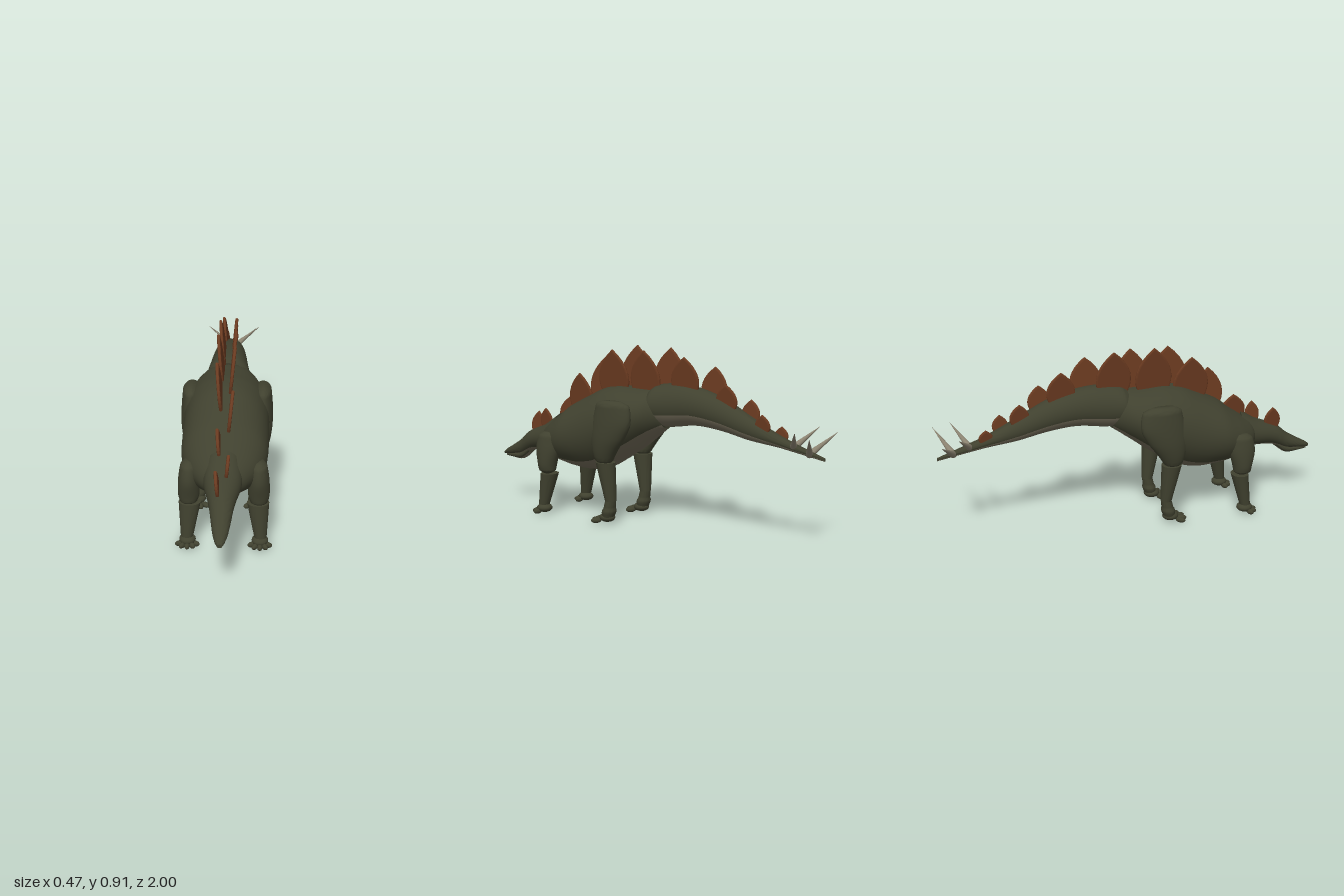
import * as THREE from 'three';
import { toCreasedNormals } from 'three/addons/utils/BufferGeometryUtils.js';

const mat = (name, color) => Object.assign(new THREE.MeshStandardMaterial({ color }), { name });
const SEG = 32;

// Smooth body through elliptical rings [s, c1, c2, r1, r2].
// axis 'z': rings by rising z in the xy plane; axis 'y': rings by falling y in the xz plane.
// Faces whose section angle has sine below bellyLine go to the second material.
function loft(rings, axis, bellyLine = -2, steps = 5) {
  const centres = new THREE.CatmullRomCurve3(rings.map(r => new THREE.Vector3(r[1], r[2], r[0])));
  const radii = new THREE.CatmullRomCurve3(rings.map(r => new THREE.Vector3(r[3], r[4], 0)));
  const n = (rings.length - 1) * steps;
  const pos = [], back = [], belly = [];
  const put = (a, b, s) => (axis === 'z' ? pos.push(a, b, s) : pos.push(a, s, b));
  for (let i = 0; i <= n; i++) {
    const c = centres.getPoint(i / n), r = radii.getPoint(i / n);
    for (let j = 0; j < SEG; j++) {
      const t = (j / SEG) * Math.PI * 2;
      put(c.x + r.x * Math.cos(t), c.y + r.y * Math.sin(t), c.z);
    }
  }
  const first = pos.length / 3;
  for (const r of [rings[0], rings[rings.length - 1]]) put(r[1], r[2], r[0]);
  for (let j = 0; j < SEG; j++) {
    const k = (j + 1) % SEG;
    const list = Math.sin(((j + 0.5) / SEG) * Math.PI * 2) < bellyLine ? belly : back;
    for (let i = 0; i < n; i++) {
      const a = i * SEG, b = a + SEG;
      list.push(a + j, a + k, b + k, a + j, b + k, b + j);
    }
    back.push(first, k, j, first + 1, n * SEG + j, n * SEG + k);
  }
  const g = new THREE.BufferGeometry();
  g.setAttribute('position', new THREE.Float32BufferAttribute(pos, 3));
  g.setIndex([...back, ...belly]);
  g.addGroup(0, back.length, 0);
  if (belly.length) g.addGroup(back.length, belly.length, 1);
  return toCreasedNormals(g, 0.9);
}

// Leaf-shaped back plate standing in the yz plane
function plateGeometry(w, h) {
  const s = new THREE.Shape();
  s.moveTo(-0.25 * w, 0);
  s.bezierCurveTo(-0.5 * w, 0.25 * h, -0.62 * w, 0.62 * h, 0, h);
  s.bezierCurveTo(0.62 * w, 0.62 * h, 0.5 * w, 0.25 * h, 0.25 * w, 0);
  const g = new THREE.ExtrudeGeometry(s, {
    depth: 0.006, bevelThickness: 0.005, bevelSize: 0.008, bevelOffset: -0.008, bevelSegments: 2, curveSegments: 10,
  });
  g.translate(0, 0, -0.003);
  g.rotateY(-Math.PI / 2);
  return g;
}

export function createModel() {
  const model = new THREE.Group();
  model.name = 'platedDinosaur';
  const hide = mat('darkOliveHide', 0x40412f);
  const under = mat('paleBelly', 0x6f6856);
  const rust = mat('rustPlates', 0x6a3a20);
  const horn = mat('hornSpikes', 0x8a8270);
  const add = (name, geo, material, parent = model) => {
    const m = new THREE.Mesh(geo, material);
    m.name = name;
    parent.add(m);
    return m;
  };
  const skin = [hide, under];

  // Torso, tail, neck with head, lower jaw
  add('torso', loft([
    [-0.12, 0, 0.58, 0.08, 0.08], [-0.05, 0, 0.57, 0.15, 0.12], [0.05, 0, 0.535, 0.195, 0.16],
    [0.15, 0, 0.505, 0.21, 0.195], [0.25, 0, 0.47, 0.21, 0.215], [0.35, 0, 0.44, 0.21, 0.2],
    [0.45, 0, 0.42, 0.205, 0.17], [0.55, 0, 0.395, 0.17, 0.125], [0.63, 0, 0.385, 0.11, 0.08],
    [0.67, 0, 0.38, 0.05, 0.04],
  ], 'z', -0.66), skin);
  add('tail', loft([
    [-1, 0, 0.435, 0.006, 0.008], [-0.77, 0, 0.495, 0.03, 0.028], [-0.6, 0, 0.545, 0.048, 0.058],
    [-0.45, 0, 0.597, 0.07, 0.08], [-0.3, 0, 0.625, 0.085, 0.095], [-0.15, 0, 0.62, 0.1, 0.11],
    [-0.07, 0, 0.615, 0.11, 0.104], [-0.04, 0, 0.61, 0.1, 0.09],
  ], 'z', -0.45), skin);
  add('neckAndHead', loft([
    [0.58, 0, 0.41, 0.09, 0.108], [0.67, 0, 0.382, 0.087, 0.075], [0.76, 0, 0.36, 0.066, 0.06],
    [0.81, 0, 0.34, 0.055, 0.057], [0.86, 0, 0.308, 0.046, 0.046], [0.93, 0, 0.283, 0.035, 0.028],
    [0.98, 0, 0.267, 0.022, 0.016], [1, 0, 0.26, 0.012, 0.009],
  ], 'z', -0.72), skin);
  add('lowerJaw', loft([
    [0.8, 0, 0.3, 0.03, 0.02], [0.86, 0, 0.262, 0.036, 0.024], [0.93, 0, 0.253, 0.027, 0.014],
    [0.985, 0, 0.248, 0.01, 0.006],
  ], 'z', -0.72), skin);

  // Legs: one side modelled, the other built with mirrored x
  const limbs = {
    frontUpperLeg: [
      [0.44, 0.165, 0.53, 0.02, 0.035], [0.42, 0.164, 0.535, 0.04, 0.058], [0.35, 0.165, 0.54, 0.05, 0.068],
      [0.27, 0.166, 0.542, 0.051, 0.052], [0.235, 0.167, 0.542, 0.042, 0.045], [0.22, 0.167, 0.54, 0.02, 0.02],
    ],
    frontLowerLeg: [[0.22, 0.163, 0.53, 0.053, 0.045], [0.05, 0.176, 0.56, 0.03, 0.028]],
    rearThigh: [
      [0.64, 0.18, 0.1, 0.022, 0.06], [0.62, 0.178, 0.095, 0.042, 0.1], [0.53, 0.18, 0.1, 0.048, 0.115],
      [0.45, 0.178, 0.125, 0.05, 0.1], [0.38, 0.172, 0.15, 0.046, 0.072], [0.33, 0.165, 0.16, 0.038, 0.05],
      [0.31, 0.165, 0.16, 0.02, 0.025],
    ],
    rearLowerLeg: [[0.32, 0.16, 0.155, 0.05, 0.052], [0.12, 0.15, 0.13, 0.032, 0.029]],
    rearAnkle: [[0.125, 0.15, 0.13, 0.03, 0.027], [0.08, 0.15, 0.138, 0.034, 0.03], [0.03, 0.15, 0.148, 0.034, 0.03]],
  };
  const ball = new THREE.SphereGeometry(1, 20, 14);
  const feet = [
    { name: 'front', x: 0.174, z: 0.56, toes: 5, reach: 0.042, spread: 1.15, size: 0.016 },
    { name: 'rear', x: 0.148, z: 0.155, toes: 4, reach: 0.058, spread: 0.75, size: 0.019 },
  ];
  for (const side of [1, -1]) {
    const label = side > 0 ? 'left' : 'right';
    const legs = new THREE.Group();
    legs.name = label + 'Legs';
    model.add(legs);
    for (const [name, rings] of Object.entries(limbs))
      add(name, loft(rings.map(([y, x, ...rest]) => [y, x * side, ...rest]), 'y'), hide, legs);
    for (const f of feet) {
      const foot = add(f.name + 'Foot', ball, hide, legs);
      foot.position.set(side * f.x, 0.03, f.z);
      foot.scale.set(0.04, 0.024, 0.042);
      for (let i = 0; i < f.toes; i++) {
        const a = (i / (f.toes - 1) - 0.5) * 2 * f.spread;
        const toe = add(f.name + 'Toe', ball, hide, legs);
        toe.position.set(side * f.x + Math.sin(a) * f.reach, 0.014, f.z + Math.cos(a) * f.reach);
        toe.rotation.y = a;
        toe.scale.set(f.size * 0.8, 0.014, f.size * 1.4);
      }
    }
  }

  // Back plates [z, base y, tip y, width], alternating right and left
  const plates = [
    [0.77, 0.38, 0.51, 0.1], [0.67, 0.42, 0.54, 0.09], [0.54, 0.46, 0.61, 0.15], [0.42, 0.52, 0.75, 0.17],
    [0.3, 0.58, 0.84, 0.21], [0.2, 0.62, 0.885, 0.21], [0.1, 0.63, 0.907, 0.21], [0, 0.63, 0.89, 0.2],
    [-0.11, 0.65, 0.905, 0.2], [-0.24, 0.66, 0.87, 0.18], [-0.38, 0.64, 0.825, 0.16], [-0.48, 0.61, 0.75, 0.13],
    [-0.59, 0.56, 0.68, 0.11], [-0.68, 0.525, 0.62, 0.09], [-0.76, 0.49, 0.565, 0.08],
  ];
  plates.forEach(([z, y, tip, w], i) => {
    const side = i % 2 ? 1 : -1;
    const plate = add('backPlate', plateGeometry(w, tip - y), rust);
    plate.position.set(side * 0.016, y, z);
    plate.rotation.z = -side * 0.1;
  });

  // Paired tail spikes
  const up = new THREE.Vector3(0, 1, 0);
  for (const [by, bz, tx, ty, tz] of [[0.475, -0.835, 0.13, 0.57, -0.91], [0.452, -0.92, 0.15, 0.55, -0.995]])
    for (const side of [1, -1]) {
      const base = new THREE.Vector3(0, by, bz);
      const dir = new THREE.Vector3(side * tx, ty, tz).sub(base);
      const spike = add('tailSpike', new THREE.ConeGeometry(0.018, dir.length(), 16), horn);
      spike.position.copy(base).addScaledVector(dir, 0.5);
      spike.quaternion.setFromUnitVectors(up, dir.normalize());
    }
  return model;
}
